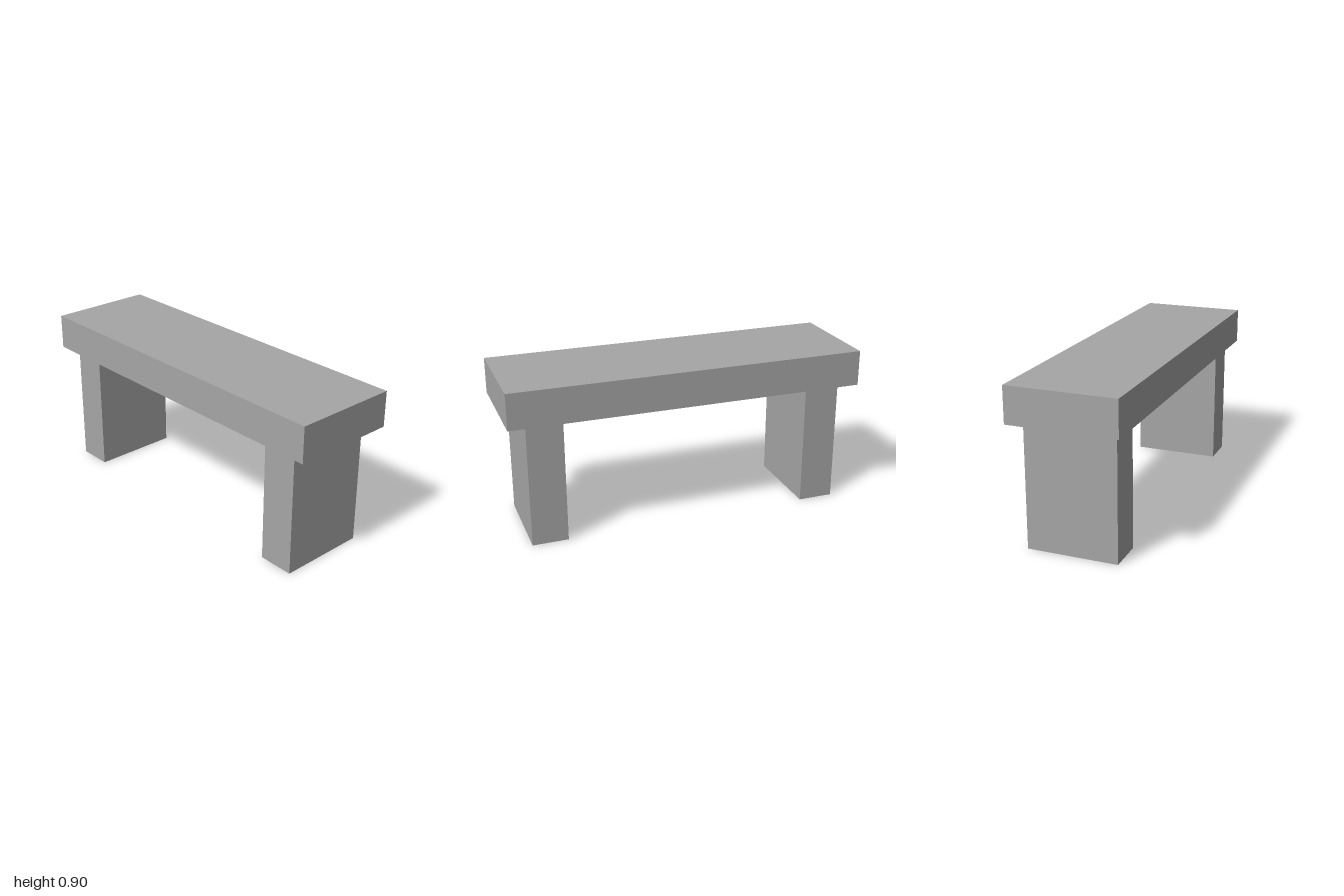
import * as THREE from 'three';

export function createModel() {
  const model = new THREE.Group();
  model.name = 'bench';
  const stone = new THREE.MeshStandardMaterial({ color: 0xa6a6a6 });
  stone.name = 'stone grey';

  const addBlock = (name, width, height, depth, x, y) => {
    const mesh = new THREE.Mesh(new THREE.BoxGeometry(width, height, depth), stone);
    mesh.name = name;
    mesh.position.set(x, y, 0);
    model.add(mesh);
  };

  // Seat slab
  addBlock('seat', 2, 0.2, 0.6, 0, 0.8);

  // Mirrored slab legs
  for (const side of [-1, 1]) {
    addBlock(side > 0 ? 'leftLeg' : 'rightLeg', 0.2, 0.7, 0.5, side * 0.8, 0.35);
  }

  return model;
}
